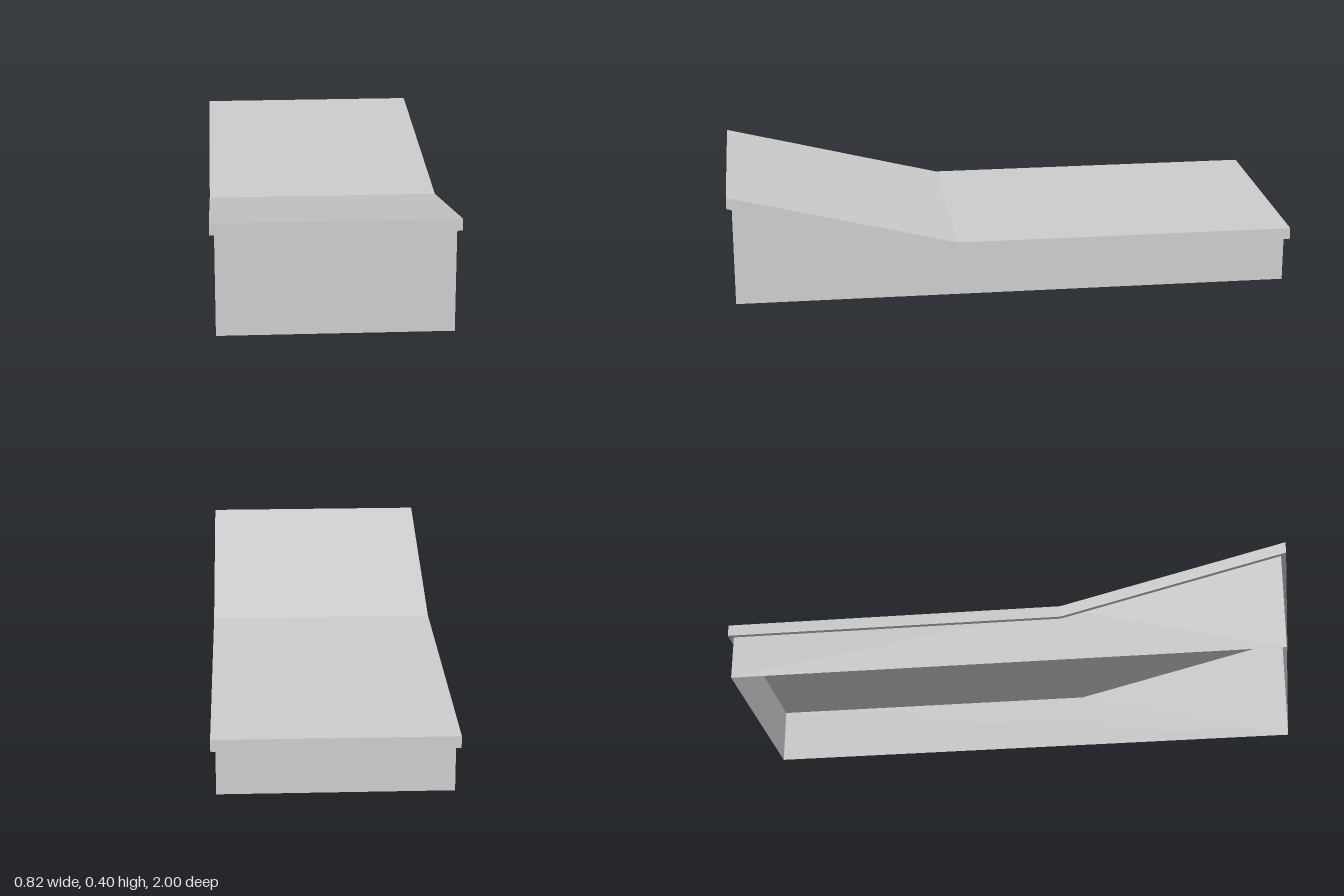
import * as THREE from 'three';

// Folded sheet: a line of [z, y] points swept across from x0 to x1
function sheet(points, x0, x1) {
  const verts = [];
  for (let i = 0; i < points.length - 1; i++) {
    const [za, ya] = points[i], [zb, yb] = points[i + 1];
    verts.push(x0, ya, za, x1, ya, za, x1, yb, zb, x0, ya, za, x1, yb, zb, x0, yb, zb);
  }
  const geometry = new THREE.BufferGeometry();
  geometry.setAttribute('position', new THREE.Float32BufferAttribute(verts, 3));
  geometry.computeVertexNormals();
  return geometry;
}

// Flat panel with a [z, y] outline, facing +x (side 1) or -x (side -1)
function sidePanel(points, side, x) {
  const shape = new THREE.Shape(points.map(([z, y]) => new THREE.Vector2(-side * z, y)));
  return new THREE.ShapeGeometry(shape).rotateY(side * Math.PI / 2).translate(side * x, 0, 0);
}

export function createModel() {
  const group = new THREE.Group();
  group.name = 'rampPlatform';
  const grey = new THREE.MeshStandardMaterial({ color: 0xcccccc });
  grey.name = 'grey';
  grey.side = THREE.DoubleSide;

  const add = (name, geometry) => {
    const mesh = new THREE.Mesh(geometry, grey);
    mesh.name = name;
    group.add(mesh);
  };

  const deckHalf = 0.409, wallHalf = 0.393, wallEnd = 0.982;
  const bend = 0.2, low = 0.159, high = 0.359, top = 0.2, thick = top - low;
  const lipY = high - (1 - wallEnd) * (high - low) / (1 - bend);

  // Deck skin: flat at the back, rising to the front, with end rims turned under to the walls
  add('deck', sheet([
    [wallEnd, lipY], [1, high], [1, high + thick], [bend, top],
    [-1, top], [-1, low], [-wallEnd, low],
  ], -deckHalf, deckHalf));

  // End walls reach up inside the rim to the deck skin; the base is open below
  add('frontWall', sheet([[wallEnd, 0], [wallEnd, lipY + thick]], -wallHalf, wallHalf));
  add('backWall', sheet([[-wallEnd, top], [-wallEnd, 0]], -wallHalf, wallHalf));

  for (const side of [1, -1]) {
    const name = side > 0 ? 'left' : 'right';
    // Side wall
    add(name + 'Wall', sidePanel([
      [wallEnd, 0], [-wallEnd, 0], [-wallEnd, top], [bend, top], [wallEnd, lipY + thick],
    ], side, wallHalf));
    // Outer face of the deck rim
    add(name + 'Rim', sidePanel([
      [1, high], [bend, low], [-1, low], [-1, top], [bend, top], [1, high + thick],
    ], side, deckHalf));
    // Underside of the overhang
    const edges = [side * wallHalf, side * deckHalf];
    add(name + 'Overhang', sheet([[-wallEnd, low], [bend, low], [wallEnd, lipY]],
      Math.min(...edges), Math.max(...edges)));
  }

  return group;
}
